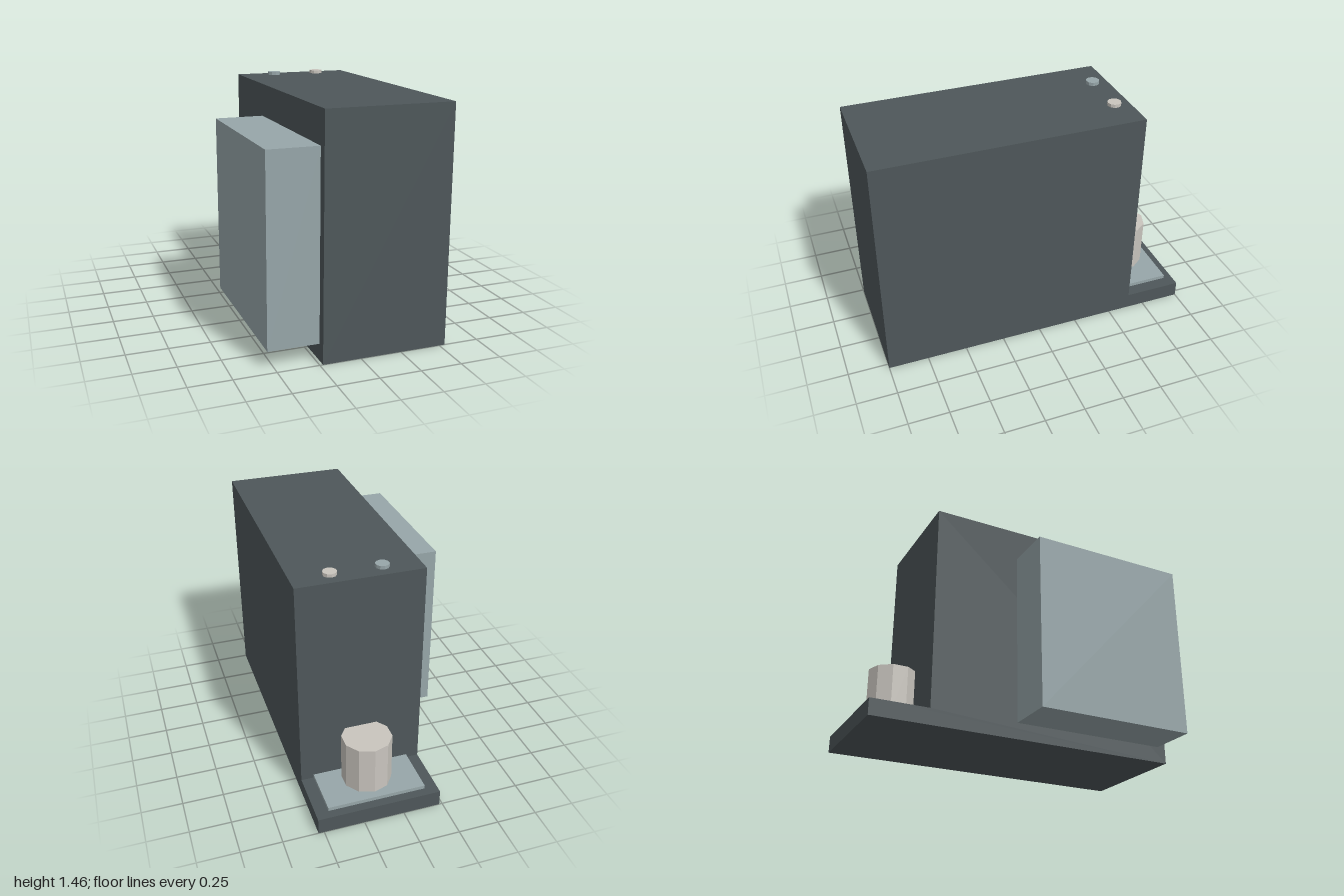
import * as THREE from 'three';

export function createModel() {
  const model = new THREE.Group();

  const flat = (name, color) => {
    const m = new THREE.MeshStandardMaterial({ color, flatShading: true });
    m.name = name;
    return m;
  };
  const charcoal = flat('charcoal', 0x4e575a);
  const greyBlue = flat('grey blue', 0x97a6a9);
  const cream = flat('cream', 0xc9c5be);

  const add = (name, geometry, material) => {
    const mesh = new THREE.Mesh(geometry, material);
    mesh.name = name;
    model.add(mesh);
    return mesh;
  };

  // Box given by its limits on each axis
  const box = (name, material, [x0, x1], [y0, y1], [z0, z1]) =>
    add(name, new THREE.BoxGeometry(x1 - x0, y1 - y0, z1 - z0), material)
      .position.set((x0 + x1) / 2, (y0 + y1) / 2, (z0 + z1) / 2);

  // Upright ten-sided cylinder
  const drum = (name, material, radius, x, z, y0, y1) =>
    add(name, new THREE.CylinderGeometry(radius, radius, y1 - y0, 10), material)
      .position.set(x, (y0 + y1) / 2, z);

  // L-shaped profile: tall body with a low ledge at the back
  const zBack = -1, zWall = -0.638, yLedge = 0.102, yTop = 1.437;
  const profile = new THREE.Shape([
    [-1, 0], [-zBack, 0], [-zBack, yLedge], [-zWall, yLedge], [-zWall, yTop], [-1, yTop],
  ].map(([u, v]) => new THREE.Vector2(u, v)));
  const xRight = -0.231, xLeft = 0.535;
  const body = add('body',
    new THREE.ExtrudeGeometry(profile, { depth: xLeft - xRight, bevelEnabled: false }), charcoal);
  body.rotation.y = Math.PI / 2;
  body.position.x = xRight;

  // Block on the right flank
  box('sideTank', greyBlue, [-0.538, xRight], [0.103, 1.233], [-0.08, 0.944]);

  // Tray and drum on the ledge, both running into the wall
  box('tray', greyBlue, [-0.153, 0.457], [yLedge, 0.125], [-0.945, zWall + 0.02]);
  drum('cup', cream, 0.153, 0.152, -0.747, 0.125, 0.435);

  // Buttons on the top
  drum('blueButton', greyBlue, 0.042, -0.002, -0.54, yTop, 1.458);
  drum('creamButton', cream, 0.042, 0.305, -0.54, yTop, 1.458);

  return model;
}
